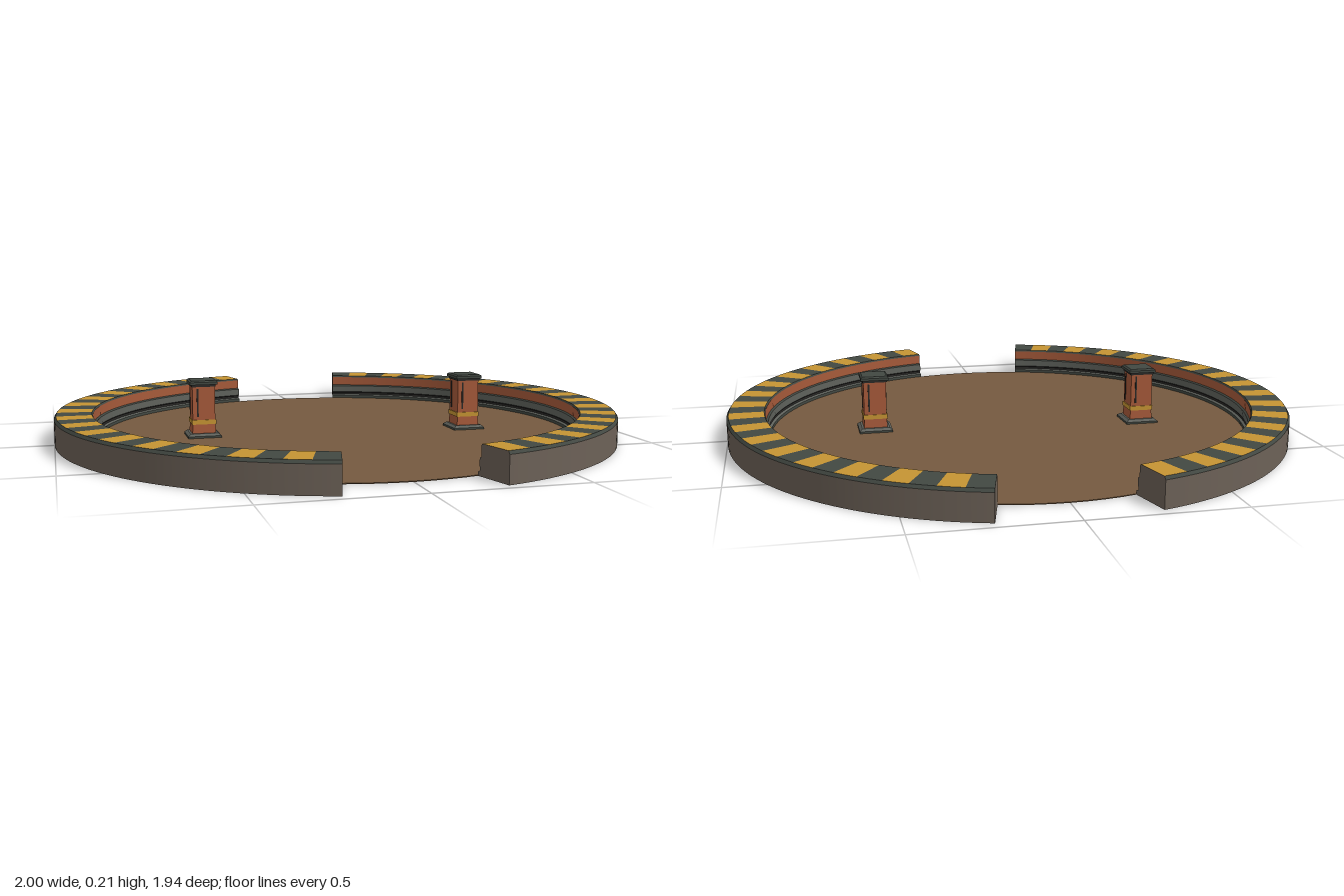
import * as THREE from 'three';
import { mergeGeometries } from 'three/addons/utils/BufferGeometryUtils.js';

const mat = (name, color, side = THREE.FrontSide) => {
  const m = new THREE.MeshStandardMaterial({ color, side });
  m.name = name;
  return m;
};

const GAP = 0.25;                 // half angle of each entrance
const ARC = Math.PI - 2 * GAP;
const STRIPES = 32;
const FLOOR_R = 0.855;

// Surface swept along the arc from a short profile of [radius, height] points
function sweep(profile, start = GAP, length = ARC, segments = 64) {
  const points = profile.map(([r, y]) => new THREE.Vector2(r, y));
  return new THREE.LatheGeometry(points, segments, start, length);
}

export function createModel() {
  const earth = mat('earth brown', 0x755a40);
  const stone = mat('stone grey', 0x6c6157, THREE.DoubleSide);
  const dark = mat('dark slate', 0x424842);
  const yellow = mat('warning yellow', 0xc69433);
  const rust = mat('rust orange', 0xa65a3a);
  const steel = mat('steel grey', 0x5f625c);
  const black = mat('soot black', 0x2a2927);

  const model = new THREE.Group();
  model.name = 'arena';
  const add = (parent, name, geometry, material, x = 0, y = 0, z = 0) => {
    const mesh = new THREE.Mesh(geometry, material);
    mesh.name = name;
    mesh.position.set(x, y, z);
    parent.add(mesh);
    return mesh;
  };

  add(model, 'floor', new THREE.CylinderGeometry(FLOOR_R, FLOOR_R, 0.003, 96), earth, 0, 0.0015, 0);

  // Corners of the wall section, counter-clockwise from the outer foot
  const section = [
    [1, 0], [1, 0.09], [0.993, 0.1], [0.872, 0.1], [0.868, 0.094],
    [0.868, 0.06], [0.861, 0.056], [0.861, 0.03], [0.864, 0.026],
    [0.864, 0.018], [0.855, 0.014], [0.855, 0],
  ];
  const strips = [
    ['outerWall', stone], ['outerBevel', dark], null, ['innerBevel', dark],
    ['rustBand', rust], ['ledge', dark], ['steelBand', steel], ['grooveTop', black],
    ['groove', black], ['footTop', steel], ['foot', dark], ['underside', stone],
  ];

  function wall() {
    const g = new THREE.Group();
    strips.forEach((strip, i) => {
      if (!strip) return;
      const edge = [section[i], section[(i + 1) % section.length]];
      add(g, strip[0], sweep(edge), strip[1]);
    });

    // Alternating warning stripes on the top
    const step = ARC / STRIPES;
    [yellow, dark].forEach((material, k) => {
      const pieces = [];
      for (let i = k; i < STRIPES; i += 2) {
        pieces.push(sweep([section[2], section[3]], GAP + i * step, step, 2));
      }
      add(g, k ? 'darkStripes' : 'yellowStripes', mergeGeometries(pieces), material);
    });

    // Flat ends beside the entrances
    const shape = new THREE.Shape(section.map(([r, y]) => new THREE.Vector2(r, y)));
    for (const phi of [GAP, GAP + ARC]) {
      add(g, 'wallEnd', new THREE.ShapeGeometry(shape), stone).rotation.y = phi - Math.PI / 2;
    }
    return g;
  }

  // Square block, tapering from the bottom width to the top width
  const block = (bottom, top, height) => {
    const geo = new THREE.CylinderGeometry(top / Math.SQRT2, bottom / Math.SQRT2, height, 4).toNonIndexed();
    geo.rotateY(Math.PI / 4);
    geo.computeVertexNormals();
    return geo;
  };

  function pillar() {
    const g = new THREE.Group();
    const stack = (name, bottom, top, y0, y1, material) =>
      add(g, name, block(bottom, top, y1 - y0), material, 0, (y0 + y1) / 2, 0);
    stack('basePlate', 0.118, 0.118, 0, 0.01, dark);
    stack('baseBevel', 0.118, 0.098, 0.01, 0.018, steel);
    stack('lowerBody', 0.084, 0.08, 0.018, 0.05, rust);
    stack('yellowBand', 0.086, 0.086, 0.05, 0.066, yellow);
    stack('upperBody', 0.08, 0.08, 0.066, 0.19, rust);
    stack('neck', 0.086, 0.086, 0.184, 0.192, black);
    stack('cap', 0.098, 0.098, 0.192, 0.201, dark);
    stack('capBevel', 0.098, 0.086, 0.201, 0.206, dark);

    // Slim dark slot on each face
    for (let i = 0; i < 4; i++) {
      const face = new THREE.Group();
      face.name = 'pillarFace';
      face.rotation.y = i * Math.PI / 2;
      add(face, 'slot', new THREE.BoxGeometry(0.006, 0.1, 0.004), black, -0.022, 0.128, 0.04);
      g.add(face);
    }
    return g;
  }

  // The two halves match under a half turn
  for (const [side, turn] of [['left', 0], ['right', Math.PI]]) {
    const half = new THREE.Group();
    half.name = side + 'Half';
    half.rotation.y = turn;
    const w = wall();
    w.name = side + 'Wall';
    const p = pillar();
    p.name = side + 'Pillar';
    p.position.set(0.485, 0, 0.042);
    half.add(w, p);
    model.add(half);
  }
  return model;
}
